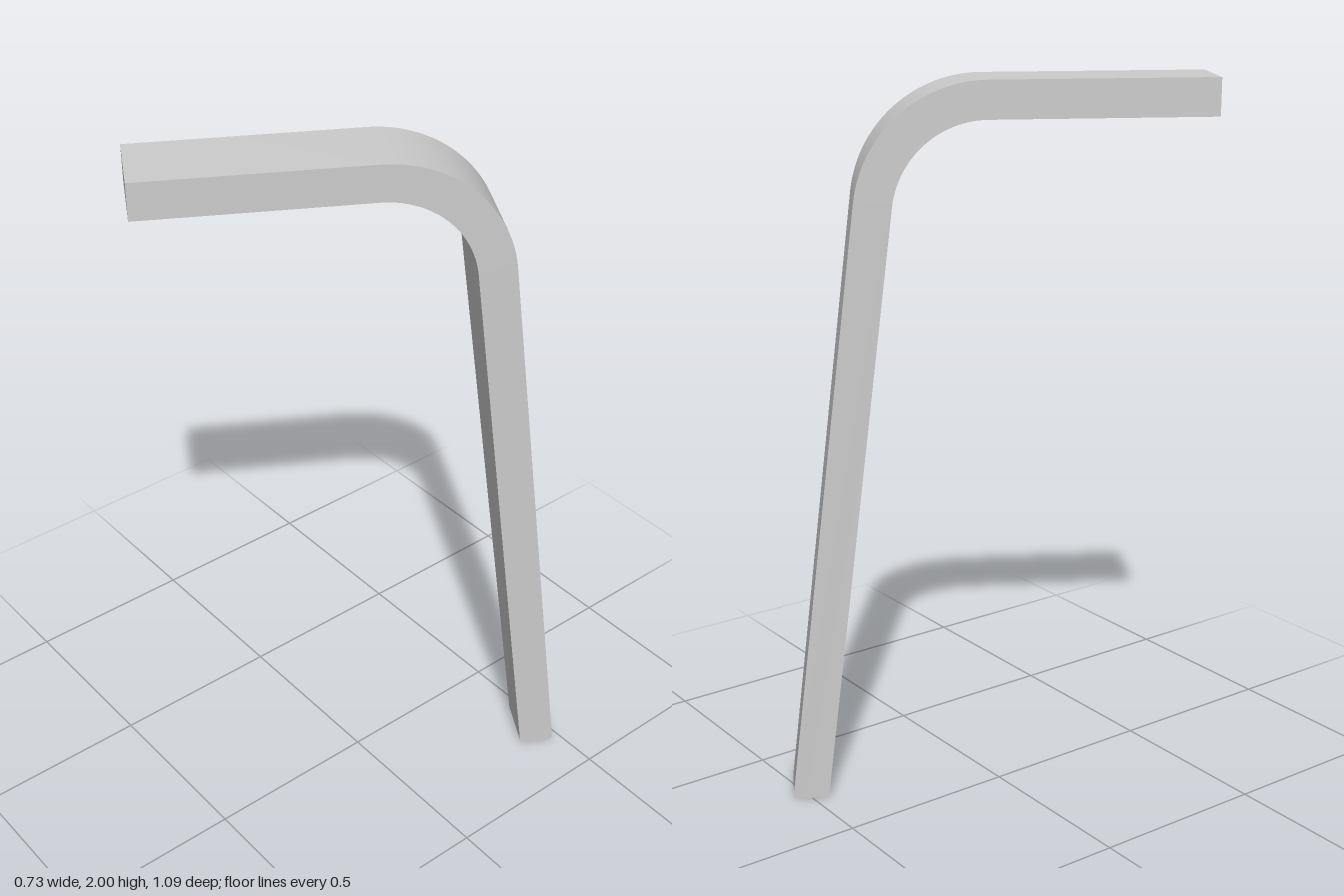
import * as THREE from 'three';
import { toCreasedNormals } from 'three/addons/utils/BufferGeometryUtils.js';

const START = -0.562;         // free end of the horizontal arm
const BEND = 0.038;           // where the bend begins
const R_OUT = 0.35, R_IN = 0.25, THICK = R_OUT - R_IN;
const LEAN = THREE.MathUtils.degToRad(7);
const HALF_TOP = 0.103, HALF_FOOT = 0.0715;
const ROUND = 0.012;          // rounding under the foot

// Cross-sections along the bar: outer point, inner point, half width
function makeStations() {
  const list = [{ o: [START, 2], i: [START, 2 - THICK], h: HALF_TOP }];
  // bend, from horizontal down to the leaning leg
  const n = 24;
  for (let k = 0; k <= n; k++) {
    const a = Math.PI / 2 - (k / n) * (Math.PI / 2 - LEAN);
    const at = r => [BEND + r * Math.cos(a), 2 - R_OUT + r * Math.sin(a)];
    list.push({ o: at(R_OUT), i: at(R_IN), h: HALF_TOP });
  }
  // tapered leg, cut level at the floor with small rounded edges
  const { o, i } = list[list.length - 1];
  const down = (p, y) => p[0] + (p[1] - y) * Math.tan(LEAN);
  for (let k = 0; k <= 4; k++) {
    const a = (k / 4) * Math.PI / 2;
    const y = ROUND * (1 - Math.sin(a)), inset = ROUND * (1 - Math.cos(a));
    list.push({ o: [down(o, y) - inset, y], i: [down(i, y) + inset, y], h: HALF_FOOT });
  }
  return list;
}

// Skin the rectangular cross-sections and close both ends
function skin(stations) {
  const pos = [], idx = [];
  for (const { o, i, h } of stations) {
    pos.push(...o, -h, ...o, h, ...i, h, ...i, -h);
  }
  const quad = (a, b, c, d) => idx.push(a, b, c, a, c, d);
  const last = stations.length - 1;
  for (let s = 0; s < last; s++) {
    for (let j = 0; j < 4; j++) {
      const a = s * 4 + j, b = s * 4 + (j + 1) % 4;
      quad(a, b, b + 4, a + 4);
    }
  }
  quad(3, 2, 1, 0);
  quad(last * 4, last * 4 + 1, last * 4 + 2, last * 4 + 3);
  const g = new THREE.BufferGeometry();
  g.setAttribute('position', new THREE.Float32BufferAttribute(pos, 3));
  g.setIndex(idx);
  return toCreasedNormals(g, 0.6);
}

export function createModel() {
  const group = new THREE.Group();
  group.name = 'bentLeg';
  const bar = new THREE.Mesh(skin(makeStations()), new THREE.MeshStandardMaterial({ color: 0xcccccc }));
  bar.name = 'bentBar';
  // the arm points diagonally, 60 degrees off the x axis
  bar.rotation.y = Math.PI / 3;
  bar.position.set(0.006, 0, 0.0035);
  group.add(bar);
  return group;
}
